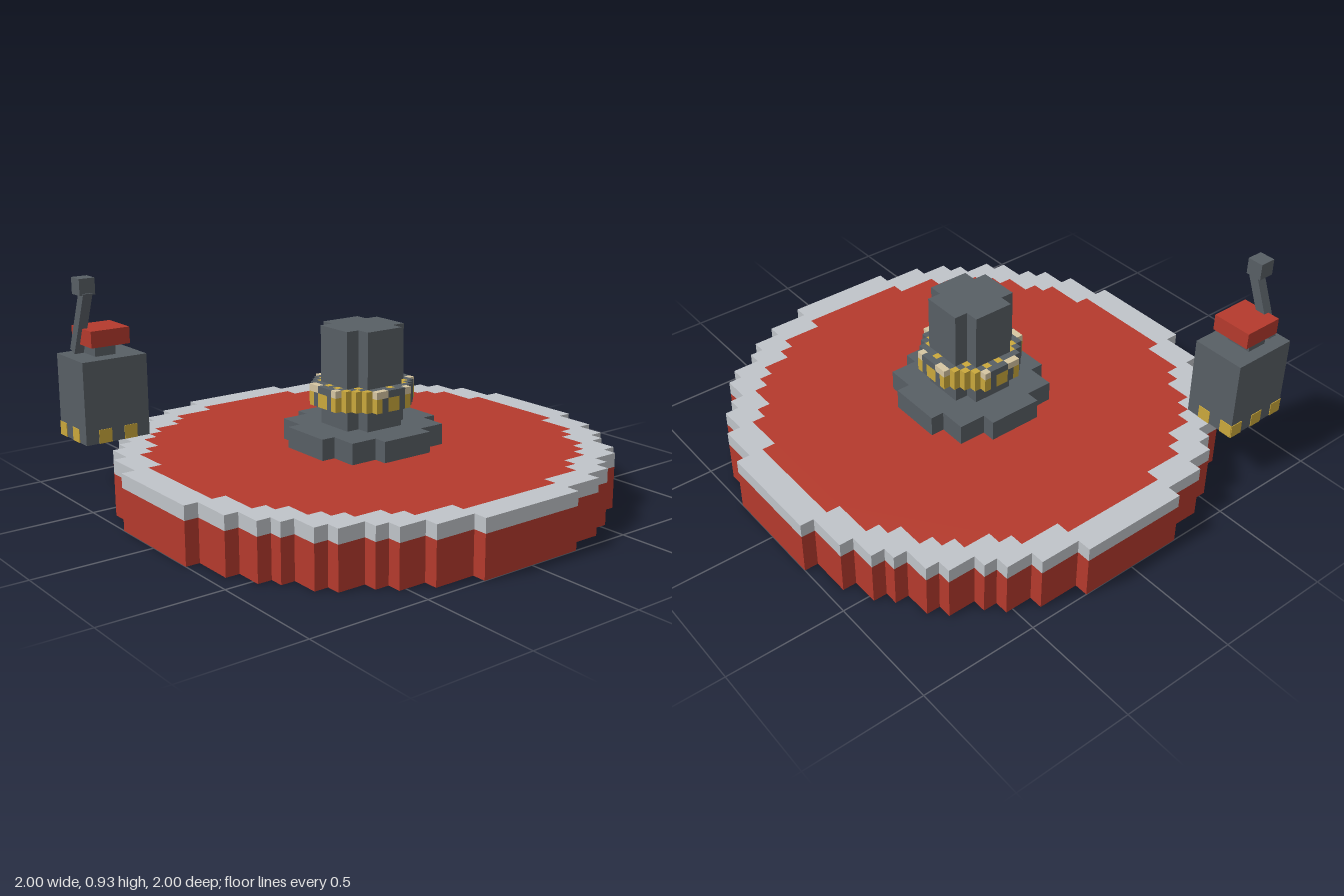
import * as THREE from 'three';
import { mergeGeometries } from 'three/addons/utils/BufferGeometryUtils.js';

const U = 1 / 17; // block size

const mat = (name, color) => {
  const m = new THREE.MeshStandardMaterial({ color });
  m.name = name;
  return m;
};

// Stepped round outline from one quadrant of [xEnd, height] steps
function outline(steps) {
  const quad = [];
  steps.forEach(([x, h], i) => {
    quad.push([x, h]);
    if (i + 1 < steps.length) quad.push([x, steps[i + 1][1]]);
  });
  const pts = [];
  let turn = quad;
  for (let k = 0; k < 4; k++) {
    pts.push(...turn.map(([x, y]) => new THREE.Vector2(x * U, y * U)));
    turn = turn.map(([x, y]) => [y, -x]);
  }
  return pts;
}

// Upright prism between two heights, given in blocks
function prism(points, y0, y1, hole) {
  const shape = new THREE.Shape(points);
  if (hole) shape.holes.push(new THREE.Path(hole));
  const g = new THREE.ExtrudeGeometry(shape, { depth: (y1 - y0) * U, bevelEnabled: false });
  return g.rotateX(-Math.PI / 2).translate(0, y0 * U, 0);
}

// Box from its minimum and maximum corners, in blocks
function block(x0, x1, y0, y1, z0, z1) {
  return new THREE.BoxGeometry((x1 - x0) * U, (y1 - y0) * U, (z1 - z0) * U)
    .translate((x0 + x1) / 2 * U, (y0 + y1) / 2 * U, (z0 + z1) / 2 * U);
}

export function createModel() {
  const model = new THREE.Group();
  const red = mat('red', 0xb53a2d);
  const silver = mat('light grey', 0xc0c4c9);
  const grey = mat('dark grey', 0x585f65);
  const yellow = mat('yellow', 0xcaa83c);
  const cream = mat('cream', 0xd6c6a2);
  const add = (name, geometry, material, parent = model) => {
    const mesh = new THREE.Mesh(geometry, material);
    mesh.name = name;
    parent.add(mesh);
    return mesh;
  };

  // Round platform with a flush rim
  const outer = outline([[4, 17], [7, 16], [9, 15], [10, 14], [12, 13], [13, 12], [14, 10], [15, 9], [16, 7], [17, 4]]);
  const inner = outline([[4, 15], [7, 14], [8, 13], [10, 12], [11, 11], [12, 10], [13, 8], [14, 7], [15, 4]]);
  add('platformBase', prism(outer, 0, 3), red);
  add('platformFloor', prism(inner, 3, 4), red);
  add('platformRim', prism(outer, 3, 4, inner), silver);

  // Centre pillar on its foot
  add('pillarFoot', prism(outline([[2, 5], [4, 4], [5, 2]]), 4, 5.5), grey);
  add('pillar', prism(outline([[1.5, 2.5], [2.5, 1.5]]), 5.5, 12.5), grey);

  // Lamp band of half-size blocks around the pillar
  const parts = { grey: [], yellow: [], cream: [] };
  for (let i = -7; i < 7; i++) for (let j = -7; j < 7; j++) {
    const x = i + 0.5, z = j + 0.5, r2 = x * x + z * z;
    const inPillar = Math.max(Math.abs(x), Math.abs(z)) < 5 && Math.min(Math.abs(x), Math.abs(z)) < 3;
    if (r2 > 49 || inPillar) continue;
    const edge = Math.max(Math.abs(x), Math.abs(z)) > 6;
    const t = Math.abs(x) > Math.abs(z) ? j : i; // position along the side
    const lit = t === -3 || t === -2 || t === 2;
    const odd = (i + j) & 1;
    const top = edge ? (lit ? 'cream' : 'grey') : !lit && odd ? 'yellow' : 'grey';
    const low = edge ? (t === -2 || t === 1 ? 'grey' : 'yellow') : odd ? 'yellow' : 'grey';
    parts[low].push(block(i / 2, (i + 1) / 2, 7, 8, j / 2, (j + 1) / 2));
    parts[top].push(block(i / 2, (i + 1) / 2, 8, 8.5, j / 2, (j + 1) / 2));
  }
  add('lampBandFrame', mergeGeometries(parts.grey), grey);
  add('lampBandLights', mergeGeometries(parts.yellow), yellow);
  add('lampBandCaps', mergeGeometries(parts.cream), cream);

  // Control box beside the platform
  const control = new THREE.Group();
  control.name = 'controlBox';
  model.add(control);
  add('cabinet', block(-16, -11, 4, 10, -15, -11), grey, control);

  // Alternating hazard marks around the cabinet foot
  const marks = [], e = 0.05;
  for (let i = -16; i < -11; i++) {
    if (i & 1) marks.push(block(i, i + 1, 4, 5, -11, -11 + e));
    else marks.push(block(i, i + 1, 4, 5, -15 - e, -15));
  }
  for (const j of [-15, -13]) {
    marks.push(block(-11, -11 + e, 4, 5, j, j + 1));
    marks.push(block(-16 - e, -16, 4, 5, j, j + 1));
  }
  add('hazardMarks', mergeGeometries(marks), yellow, control);

  // Push button
  add('buttonNeck', block(-14.4, -12.8, 10, 10.8, -14.1, -12.2), grey, control);
  add('button', block(-15, -12, 10.8, 12, -14.5, -11.5), red, control);

  // Slanted lever and its knob
  const lever = add('lever', new THREE.BoxGeometry(0.042, 0.29, 0.042), grey, control);
  lever.position.set(-0.88, 0.735, -0.763);
  lever.rotation.x = Math.PI / 8;
  const knob = add('leverKnob', new THREE.BoxGeometry(0.07, 0.07, 0.07), grey, control);
  knob.position.set(-0.88, 0.89, -0.727);

  return model;
}
